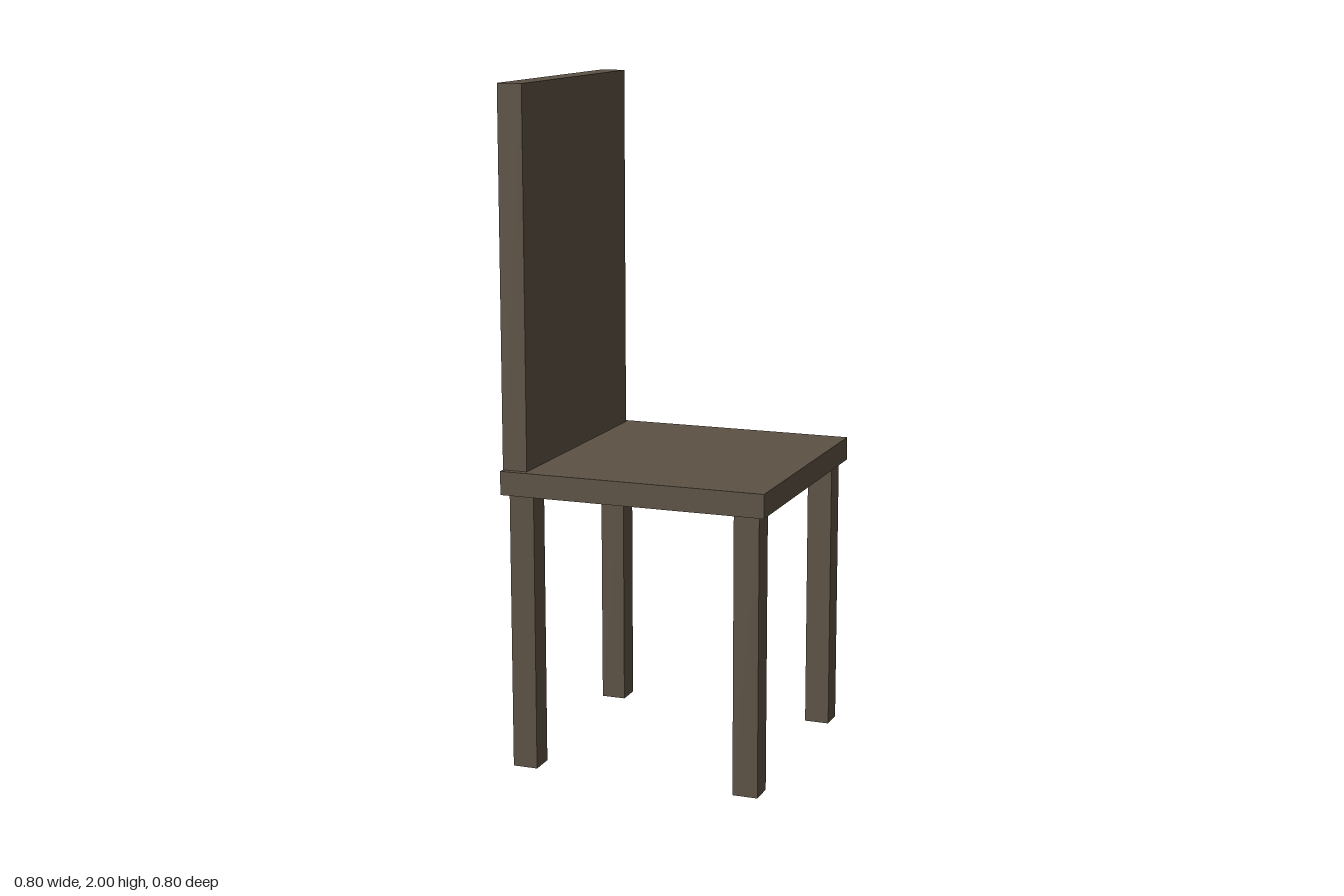
import * as THREE from 'three';

export function createModel() {
  const group = new THREE.Group();
  const wood = new THREE.MeshStandardMaterial({ color: 0x5c5144 });
  wood.name = 'darkWood';

  // Box given by its size and the centre of its underside
  function addBox(name, width, height, depth, x, y, z) {
    const geometry = new THREE.BoxGeometry(width, height, depth);
    geometry.translate(0, height / 2, 0);
    const mesh = new THREE.Mesh(geometry, wood);
    mesh.name = name;
    mesh.position.set(x, y, z);
    group.add(mesh);
  }

  const seatBottom = 0.825;
  const seatTop = 0.895;
  const legSize = 0.075;
  const legOffset = 0.3425;

  // Seat slab
  addBox('seat', 0.8, seatTop - seatBottom, 0.8, 0, seatBottom, 0);

  // Backrest panel, flush with the -x edge of the seat
  addBox('backrest', 0.075, 2 - seatTop, 0.76, -0.3625, seatTop, 0);

  // Four square legs
  for (const [side, x] of [['Left', legOffset], ['Right', -legOffset]]) {
    for (const [end, z] of [['front', legOffset], ['back', -legOffset]]) {
      addBox(`${end}${side}Leg`, legSize, seatBottom, legSize, x, 0, z);
    }
  }

  return group;
}
